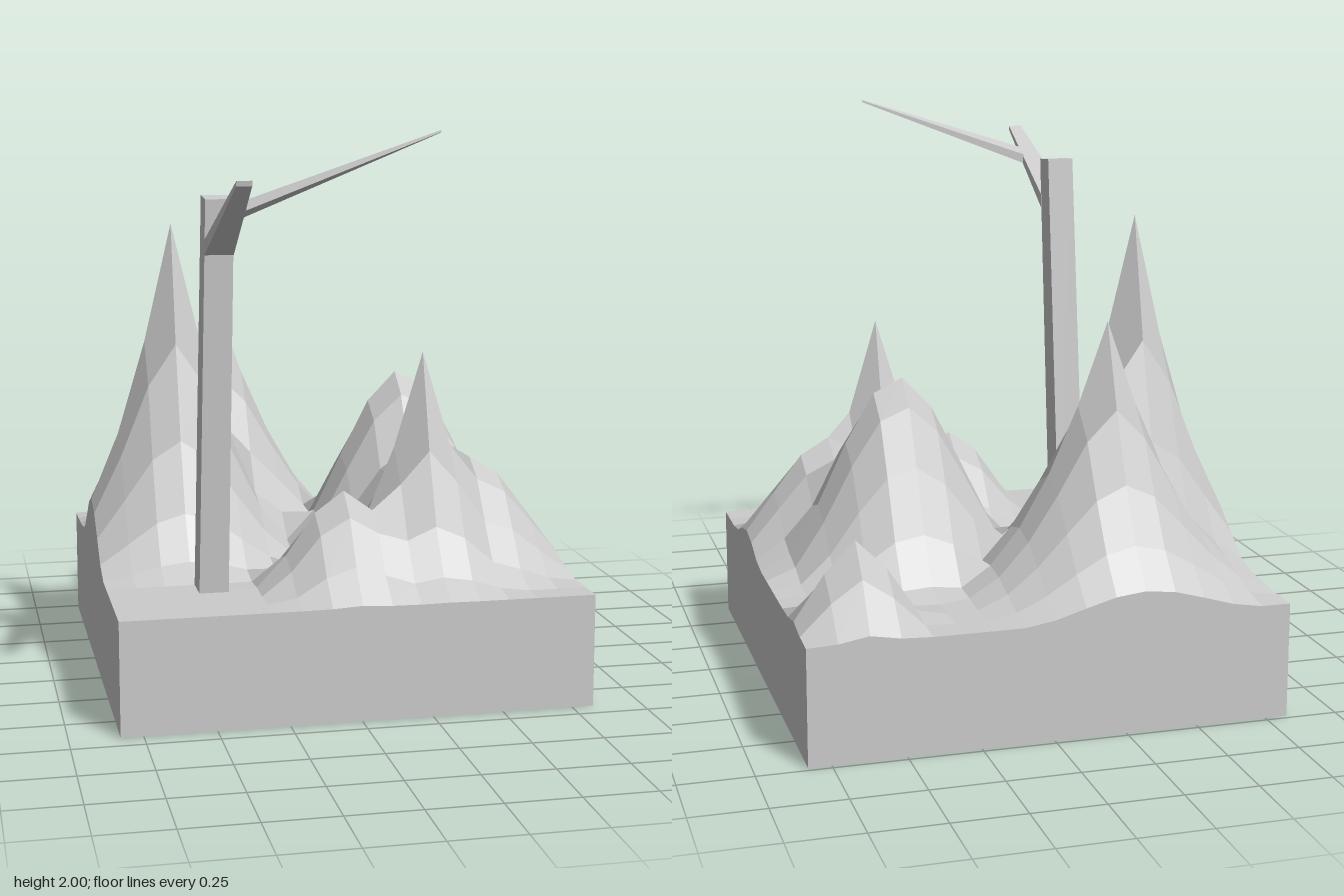
import * as THREE from 'three';

const material = new THREE.MeshStandardMaterial({ color: 0xcccccc });

// Gives each quad (two consecutive triangles) one shared flat normal
function quadMesh(name, geometry) {
  const flat = geometry.toNonIndexed();
  flat.computeVertexNormals();
  const n = flat.attributes.normal;
  const a = new THREE.Vector3(), b = new THREE.Vector3();
  for (let i = 0; i < n.count; i += 6) {
    a.fromBufferAttribute(n, i).add(b.fromBufferAttribute(n, i + 3)).normalize();
    for (let k = 0; k < 6; k++) n.setXYZ(i + k, a.x, a.y, a.z);
  }
  const mesh = new THREE.Mesh(flat, material);
  mesh.name = name;
  return mesh;
}

// Falloffs around a raised point: pointed peaks and rounded hills
const sharp = (d, r) => Math.max(0, 1 - d / r) ** 2;
const smooth = (d, r) => { const t = Math.max(0, 1 - d / r); return t * t * (3 - 2 * t); };

// x, z, height, radius
const peaks = [
  [-0.517, -0.259, 1.24, 0.53],
  [-0.31, -0.569, 0.92, 0.6],
  [0.31, 0.259, 0.81, 0.43],
];
const hills = [
  [0.33, -0.15, 0.68, 0.48],
  [0.517, 0.155, 0.4, 0.42],
  [0, 0.362, 0.34, 0.34],
  [0.62, -0.776, 0.28, 0.25],
];

const lift = (fall, [px, pz, h, r], x, z, y = 0) => h * fall(Math.hypot(x - px, z - pz, y), r);

const topHeight = (x, z) => Math.max(
  ...peaks.map(p => lift(sharp, p, x, z)),
  ...hills.map(p => lift(smooth, p, x, z)));

// Square slab whose top grid is pulled up into mountains, with a faint hollow below the tallest
function makeTerrain() {
  const g = new THREE.BoxGeometry(1.655, 0.4, 1.655, 16, 1, 16).translate(0, 0.2, -0.155);
  const p = g.attributes.position;
  for (let i = 0; i < p.count; i++) {
    const x = p.getX(i), z = p.getZ(i);
    const top = p.getY(i) > 0.2;
    p.setY(i, top ? 0.4 + topHeight(x, z) : lift(sharp, peaks[0], x, z, 0.4));
  }
  return quadMesh('mountainTerrain', g);
}

// Four-sided tapered bar between two end quads; corners in order (-x-z, -x+z, +x+z, +x-z) of a box
function taperedBar(name, start, end) {
  const g = new THREE.BoxGeometry(1, 1, 1);
  const p = g.attributes.position;
  for (let i = 0; i < p.count; i++) {
    const right = p.getX(i) > 0, near = p.getZ(i) > 0;
    const corner = right ? (near ? 2 : 3) : (near ? 1 : 0);
    p.setXYZ(i, ...(p.getY(i) > 0 ? end : start)[corner]);
  }
  return quadMesh(name, g);
}

export function createModel() {
  const group = new THREE.Group();
  group.name = 'mountainDiorama';
  group.add(makeTerrain());

  // Leaning square post
  group.add(taperedBar('post',
    [[-0.515, 0.39, 0.255], [-0.515, 0.39, 0.375], [-0.412, 0.39, 0.375], [-0.412, 0.39, 0.255]],
    [[-0.497, 1.78, 0.38], [-0.497, 1.772, 0.48], [-0.4, 1.772, 0.48], [-0.4, 1.78, 0.38]]));

  // Tapered branch rising forwards from the post
  group.add(taperedBar('branch',
    [[-0.5, 1.635, 0.465], [-0.5, 1.585, 0.465], [-0.4, 1.585, 0.465], [-0.4, 1.635, 0.465]],
    [[-0.475, 1.86, 0.983], [-0.475, 1.843, 0.98], [-0.425, 1.843, 0.98], [-0.425, 1.86, 0.983]]));

  // Long thin twig growing from the side of the branch
  group.add(taperedBar('twig',
    [[-0.415, 1.73, 0.75], [-0.415, 1.765, 0.745], [-0.415, 1.79, 0.805], [-0.415, 1.757, 0.81]],
    [[0.265, 1.99, 0.63], [0.265, 1.997, 0.63], [0.265, 2.0, 0.642], [0.265, 1.993, 0.642]]));

  return group;
}
